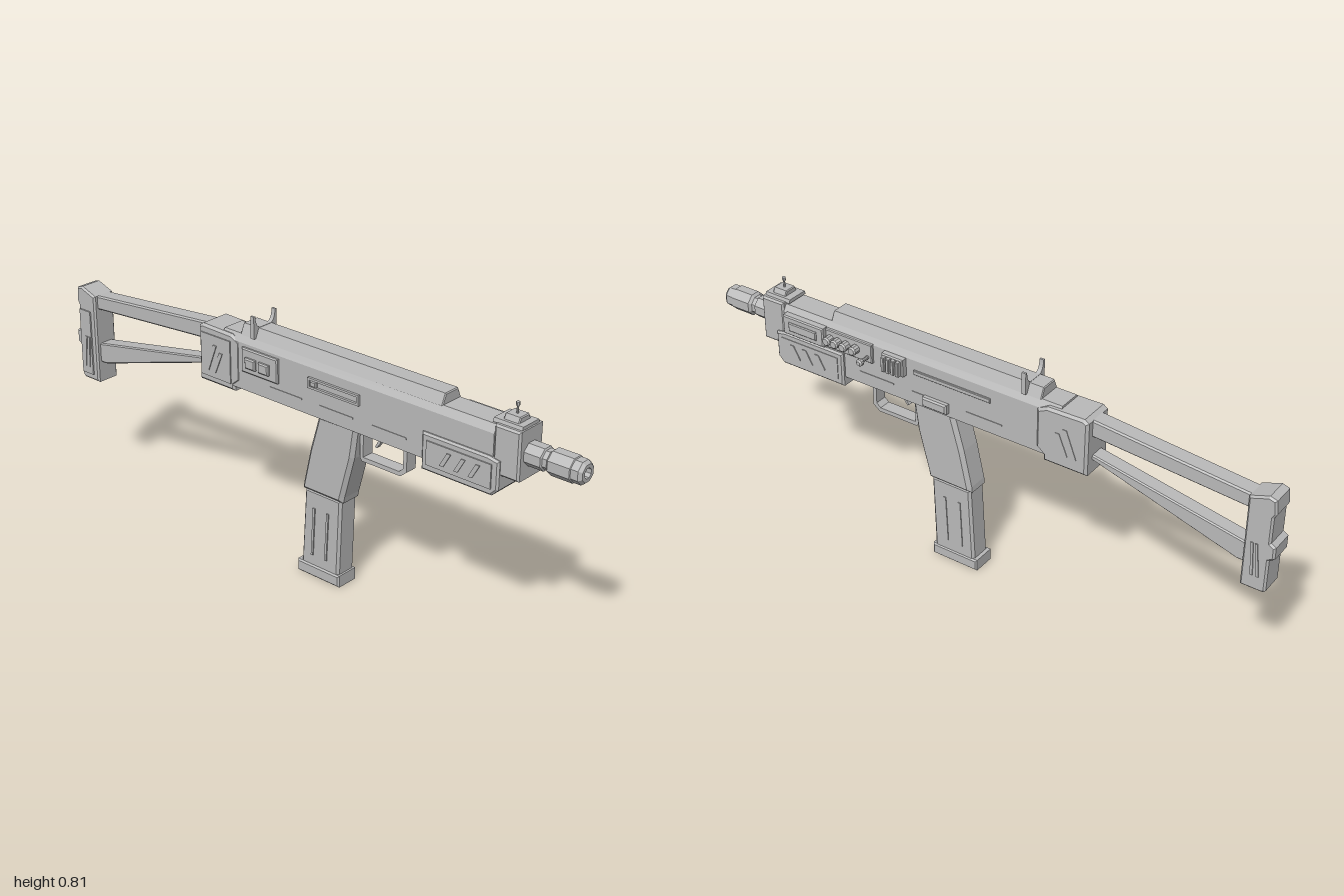
import * as THREE from 'three';

const CZ = 0.018; // centre plane of the body

export function createModel() {
  const model = new THREE.Group();
  const grey = new THREE.MeshStandardMaterial({ color: 0xb9b9b9 });
  grey.name = 'grey';

  const add = (name, geometry) => {
    const mesh = new THREE.Mesh(geometry, grey);
    mesh.name = name;
    model.add(mesh);
    return mesh;
  };
  const toShape = pts => new THREE.Shape(pts.map(p => new THREE.Vector2(p[0], p[1])));
  const extrude = (shape, depth, b) => new THREE.ExtrudeGeometry(shape, {
    depth: depth - 2 * b, bevelEnabled: b > 0, bevelSize: b, bevelThickness: b,
    bevelOffset: -b, bevelSegments: 1, curveSegments: 6,
  }).translate(0, 0, b);
  // side profile (x, y) pushed from z0 to z1, with chamfered edges
  const slab = (name, pts, z0, z1, b = 0) =>
    add(name, extrude(toShape(pts), z1 - z0, b).translate(0, 0, z0));
  const rect = (x0, x1, y0, y1) => [[x0, y0], [x1, y0], [x1, y1], [x0, y1]];
  const block = (name, x0, x1, y0, y1, z0, z1, b = 0) => slab(name, rect(x0, x1, y0, y1), z0, z1, b);
  // cross-section (z, y) pushed along x
  const bar = (name, pts, x0, x1, b = 0) =>
    add(name, extrude(toShape(pts.map(([z, y]) => [-z, y])), x1 - x0, b).rotateY(Math.PI / 2).translate(x0, 0, 0));
  // faceted turned part, profile of (radius, height)
  const turned = (pts, sides) => {
    const g = new THREE.LatheGeometry(pts.map(p => new THREE.Vector2(...p)), sides, Math.PI / sides).toNonIndexed();
    g.computeVertexNormals();
    return g;
  };

  // receiver with chamfered top, rear cap and front block
  bar('receiver', [[-0.034, 0.558], [0.07, 0.558], [0.07, 0.712], [0.056, 0.735], [-0.02, 0.735], [-0.034, 0.712]], -0.3, 0.73);
  slab('rearCap', [[-0.4, 0.54], [-0.25, 0.54], [-0.25, 0.56], [-0.225, 0.58], [-0.225, 0.71], [-0.26, 0.727], [-0.385, 0.73], [-0.4, 0.72]], -0.043, 0.072, 0.008);
  block('frontBlock', 0.73, 0.817, 0.592, 0.742, -0.036, 0.071, 0.006);
  bar('topRail', [[-0.025, 0.733], [0.061, 0.733], [0.046, 0.767], [-0.01, 0.767]], -0.23, 0.545, 0.003);

  // fore-end under the front
  slab('foreEnd', [[0.49, 0.528], [0.735, 0.528], [0.757, 0.55], [0.757, 0.638], [0.72, 0.645], [0.49, 0.645]], -0.046, 0.08, 0.006);

  // barrel and hollow muzzle
  const k = 1 / Math.cos(Math.PI / 8);
  const barrel = [
    [0, 0], [0.034, 0], [0.034, 0.055], [0.029, 0.058], [0.029, 0.072], [0.037, 0.08], [0.037, 0.15],
    [0.034, 0.152], [0.034, 0.175], [0.026, 0.185], [0.015, 0.185], [0.015, 0.14], [0, 0.14],
  ].map(([r, y]) => [r * k, y]);
  add('barrel', turned(barrel, 8).rotateZ(-Math.PI / 2).translate(0.815, 0.665, CZ));

  // rear sight: plate with two curved ears
  const sight = new THREE.Shape();
  sight.moveTo(-0.05, 0.735);
  sight.lineTo(0.05, 0.735);
  sight.lineTo(0.05, 0.807);
  sight.lineTo(0.043, 0.807);
  sight.quadraticCurveTo(0.042, 0.775, 0.024, 0.768);
  sight.lineTo(-0.024, 0.768);
  sight.quadraticCurveTo(-0.042, 0.775, -0.043, 0.807);
  sight.lineTo(-0.05, 0.807);
  add('rearSight', extrude(sight, 0.014, 0).rotateY(Math.PI / 2).translate(-0.18, 0, CZ));

  // front sight base and bead
  bar('frontSightBase', [[-0.022, 0.74], [0.058, 0.74], [0.054, 0.752], [-0.018, 0.752]], 0.715, 0.812);
  bar('frontSightRamp', [[-0.01, 0.75], [0.046, 0.75], [0.038, 0.768], [-0.002, 0.768]], 0.74, 0.792, 0.003);
  add('frontSightPost', turned([[0, 0], [0.004, 0], [0.003, 0.02], [0.006, 0.025], [0.006, 0.034], [0, 0.038]], 8).translate(0.766, 0.767, CZ));

  // magazine: upper housing, lower body, base
  slab('magazineHousing', [[0.02, 0.295], [0.18, 0.295], [0.184, 0.315], [0.222, 0.46], [0.236, 0.565], [0.086, 0.565], [0.05, 0.44], [0.022, 0.315]], -0.028, 0.063, 0.012);
  slab('magazine', [[0.012, 0.03], [0.163, 0.03], [0.173, 0.3], [0.027, 0.3]], -0.02, 0.055, 0.008);
  block('magazineBase', 0, 0.17, 0, 0.04, -0.024, 0.06, 0.005);

  // trigger guard and trigger
  const guard = toShape([[0.232, 0.565], [0.232, 0.462], [0.24, 0.453], [0.385, 0.453], [0.408, 0.472], [0.408, 0.565]]);
  guard.holes.push(new THREE.Path([[0.244, 0.575], [0.395, 0.575], [0.395, 0.48], [0.38, 0.467], [0.244, 0.467]].map(p => new THREE.Vector2(...p))));
  guard.holes[0].getPoints().forEach((p, i) => { guard.holes[0].curves[i]?.v1.setY(Math.min(p.y, 0.558)); guard.holes[0].curves[i]?.v2.setY(Math.min(guard.holes[0].curves[i].v2.y, 0.558)); });
  add('triggerGuard', extrude(guard, 0.042, 0).translate(0, 0, -0.003));
  slab('trigger', [[0.29, 0.565], [0.307, 0.565], [0.298, 0.525], [0.284, 0.505], [0.278, 0.508], [0.29, 0.53]], 0.01, 0.026);

  // folding stock: two struts and a butt plate
  slab('upperStrut', [[-0.915, 0.627], [-0.39, 0.665], [-0.39, 0.722], [-0.915, 0.675]], -0.016, 0.042, 0.005);
  slab('lowerStrut', [[-0.915, 0.44], [-0.88, 0.44], [-0.39, 0.585], [-0.39, 0.602], [-0.915, 0.505]], -0.012, 0.04, 0.004);
  slab('buttPlate', [[-0.975, 0.37], [-0.904, 0.37], [-0.904, 0.675], [-0.965, 0.697], [-0.988, 0.69], [-0.992, 0.645], [-0.984, 0.63],
    [-0.984, 0.545], [-1, 0.535], [-1, 0.495], [-0.984, 0.485], [-0.984, 0.378]], -0.028, 0.056, 0.006);

  // raised detail shared by both sides
  for (const s of [1, -1]) {
    const panel = (name, pts, inner, t) => {
      const z = CZ + s * inner;
      slab(name, pts, Math.min(z, z + s * t), Math.max(z, z + s * t));
    };
    const slant = (x, y0, y1, dx, w) => [[x, y0], [x + w, y0], [x + w + dx, y1], [x + dx, y1]];
    panel('buttPanel', rect(-0.972, -0.922, 0.395, 0.62), 0.041, 0.005);
    panel('buttStripe', slant(-0.96, 0.42, 0.53, 0.012, 0.008), 0.045, 0.004);
    panel('buttStripe', slant(-0.942, 0.42, 0.53, 0.008, 0.008), 0.045, 0.004);
    panel('capPanel', rect(-0.385, -0.26, 0.565, 0.705), 0.056, 0.004);
    panel('capStripe', slant(-0.365, 0.585, 0.675, 0.035, 0.014), 0.059, 0.004);
    panel('capStripe', slant(-0.335, 0.585, 0.655, 0.03, 0.014), 0.059, 0.004);
    panel('foreEndPanel', rect(0.51, 0.735, 0.55, 0.625), 0.062, 0.004);
    for (const x of [0.56, 0.61, 0.66]) panel('foreEndStripe', slant(x, 0.565, 0.61, 0.025, 0.014), 0.065, 0.004);
    panel('magazineRib', slant(0.055, 0.075, 0.24, 0.008, 0.008), 0.036, 0.005);
    panel('magazineRib', slant(0.11, 0.075, 0.24, 0.008, 0.008), 0.036, 0.005);
    for (const x of [-0.1, 0.1, 0.3]) panel('seamStrip', rect(x, x + 0.13, 0.597, 0.602), 0.051, 0.003);
  }

  // selector panel with two square buttons and the bolt slot, front side
  block('selectorPanel', -0.21, -0.062, 0.622, 0.702, 0.065, 0.08, 0.004);
  for (const x of [-0.187, -0.132]) block('selectorButton', x, x + 0.042, 0.643, 0.677, 0.078, 0.092, 0.004);
  const slot = toShape(rect(0.058, 0.255, 0.648, 0.682));
  slot.holes.push(new THREE.Path([[0.066, 0.655], [0.066, 0.675], [0.247, 0.675], [0.247, 0.655]].map(p => new THREE.Vector2(...p))));
  add('boltSlotFrame', extrude(slot, 0.012, 0).translate(0, 0, 0.066));
  block('boltHandle', 0.068, 0.092, 0.656, 0.674, 0.066, 0.08, 0.003);

  // control strip, knobs and grips, back side
  block('controlPanel', 0.555, 0.715, 0.652, 0.718, -0.058, -0.03, 0.004);
  block('controlInset', 0.58, 0.69, 0.67, 0.7, -0.063, -0.055, 0.003);
  block('controlStrip', 0.375, 0.555, 0.65, 0.715, -0.044, -0.03, 0.003);
  for (const x of [0.435, 0.472, 0.505, 0.535])
    add('dial', turned([[0, 0], [0.015, 0], [0.015, 0.024], [0.011, 0.029], [0, 0.029]], 10).rotateX(-Math.PI / 2).translate(x, 0.685, -0.041));
  add('cockingKnob', turned([[0, 0], [0.006, 0], [0.006, 0.03], [0.012, 0.035], [0.012, 0.046], [0.007, 0.051], [0, 0.051]], 10)
    .rotateX(-Math.PI / 2).translate(0.39, 0.67, -0.041));
  block('gripBase', 0.25, 0.33, 0.65, 0.71, -0.055, -0.03, 0.004);
  for (let i = 0; i < 4; i++) block('gripRib', 0.256 + i * 0.018, 0.268 + i * 0.018, 0.655, 0.705, -0.069, -0.05, 0.002);
  block('magazineCatch', 0.092, 0.182, 0.572, 0.605, -0.052, -0.03, 0.005);
  block('sideRail', -0.06, 0.22, 0.665, 0.68, -0.04, -0.03, 0.002);

  return model;
}
